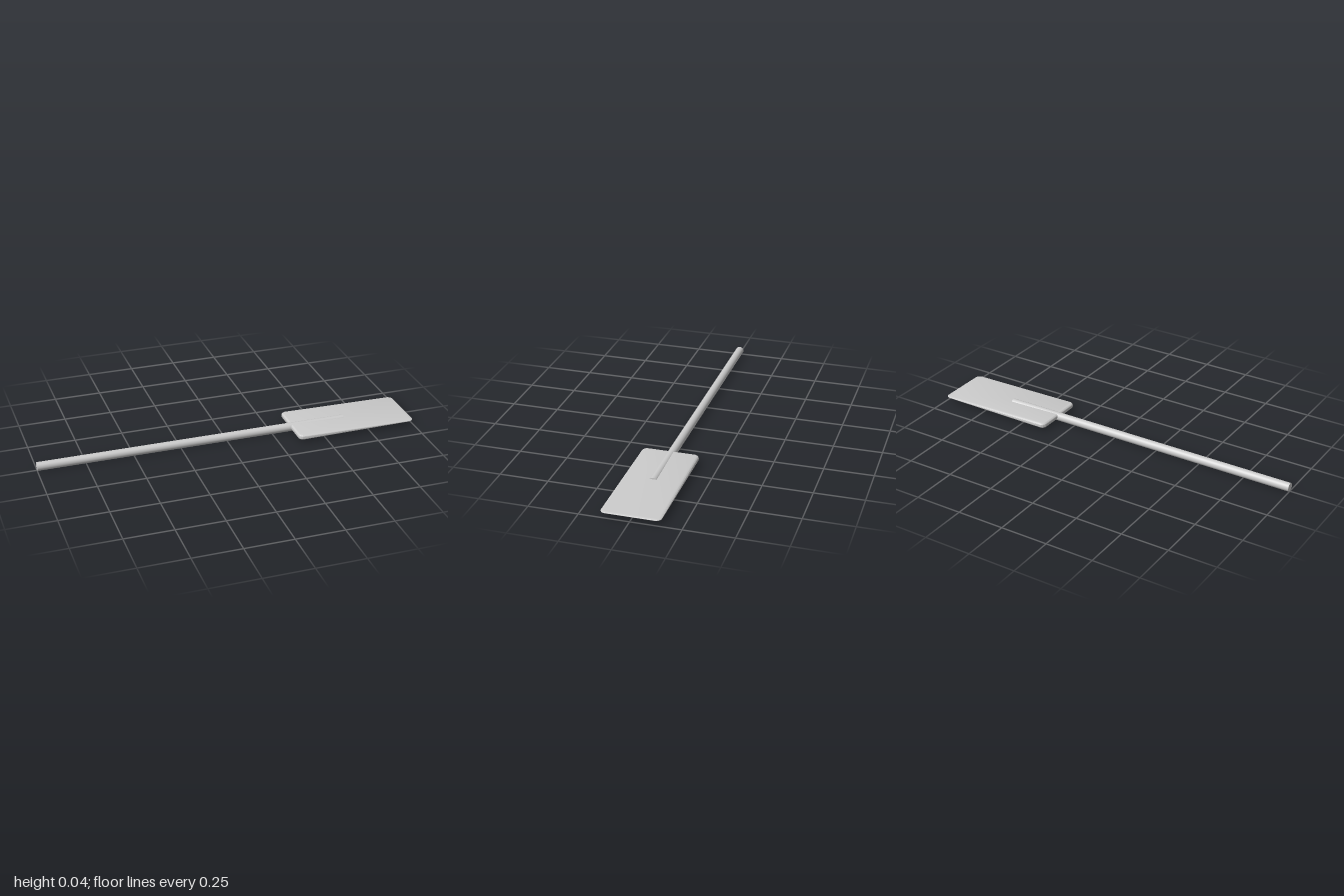
import * as THREE from 'three';
import { toCreasedNormals } from 'three/addons/utils/BufferGeometryUtils.js';

const material = new THREE.MeshStandardMaterial({ color: 0xcccccc });

function addPart(group, name, geometry) {
  const mesh = new THREE.Mesh(geometry, material);
  mesh.name = name;
  group.add(mesh);
  return mesh;
}

// Rectangle with rounded corners, in the XY plane
function roundedRect(x0, x1, halfWidth, r) {
  const s = new THREE.Shape();
  s.absarc(x1 - r, halfWidth - r, r, 0, Math.PI / 2);
  s.absarc(x0 + r, halfWidth - r, r, Math.PI / 2, Math.PI);
  s.absarc(x0 + r, -halfWidth + r, r, Math.PI, Math.PI * 1.5);
  s.absarc(x1 - r, -halfWidth + r, r, Math.PI * 1.5, Math.PI * 2);
  s.closePath();
  return s;
}

// Flat blade with rounded rims, thinning from the shaft end to the tip
function bladeGeometry() {
  const x0 = 0.35, x1 = 1, bevel = 0.012, depth = 0.004;
  const g = new THREE.ExtrudeGeometry(roundedRect(x0, x1, 0.148, 0.028), {
    depth, bevelThickness: bevel, bevelSize: bevel, bevelOffset: -bevel,
    bevelSegments: 4, curveSegments: 6,
  });
  g.translate(0, 0, -depth / 2);
  g.rotateX(-Math.PI / 2);
  const p = g.attributes.position;
  for (let i = 0; i < p.count; i++) {
    const t = (p.getX(i) - x0) / (x1 - x0);
    p.setY(i, p.getY(i) * THREE.MathUtils.lerp(1, 0.28, t));
  }
  return toCreasedNormals(g, 0.6);
}

export function createModel() {
  const group = new THREE.Group();
  group.name = 'paddle';

  // Round shaft running partway into the blade
  const shaft = new THREE.CylinderGeometry(0.022, 0.022, 1.65, 32);
  shaft.rotateZ(-Math.PI / 2);
  addPart(group, 'shaft', shaft).position.set(-0.175, 0.022, 0);

  addPart(group, 'blade', bladeGeometry()).position.y = 0.026;
  return group;
}
